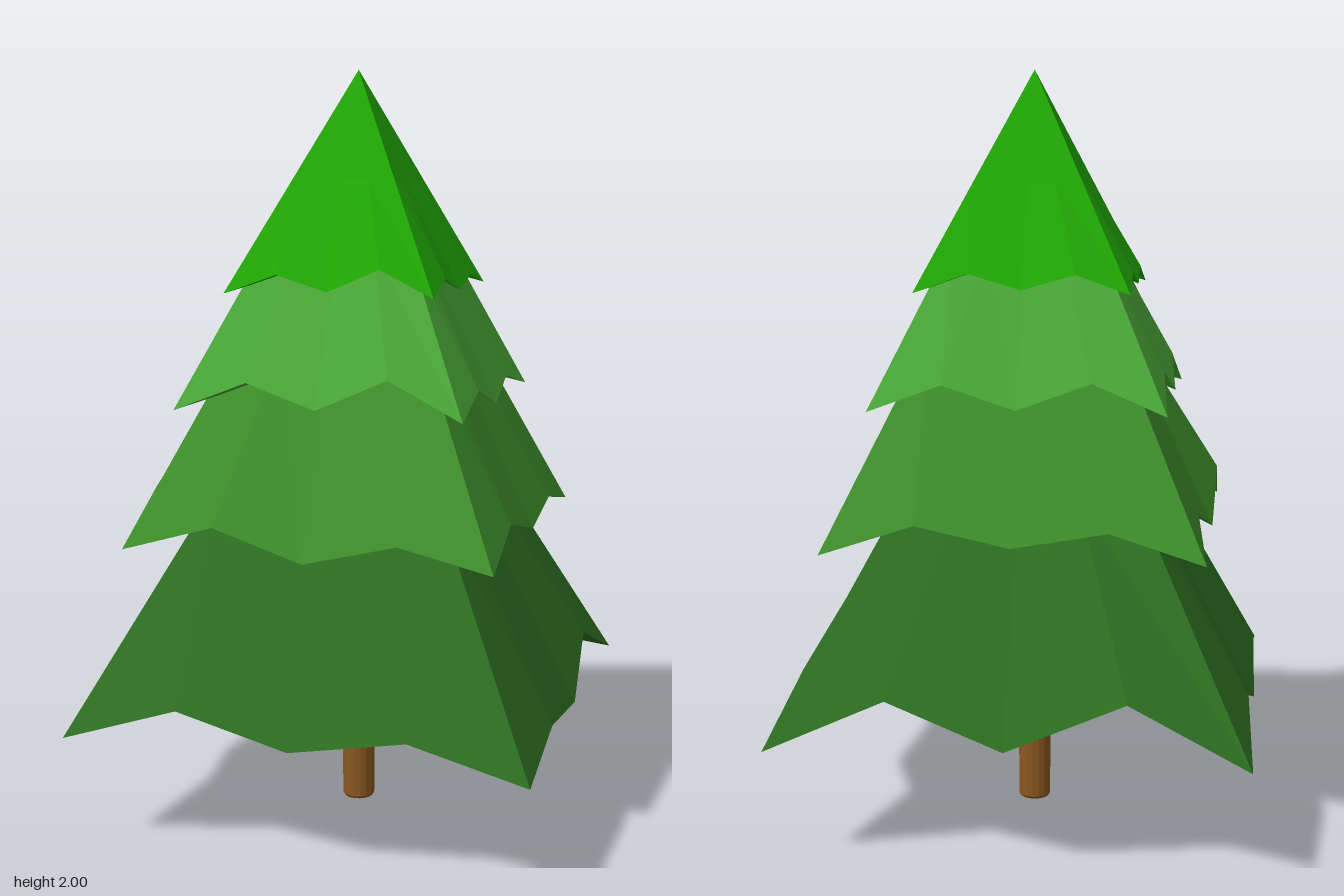
import * as THREE from 'three';

const mat = (name, color) => {
  const m = new THREE.MeshStandardMaterial({ color });
  m.name = name;
  m.flatShading = true;
  return m;
};

// Each tier: half width, corner height, apex height, and for each of the sides
// (front, left, back, right) the rise and inset of its three hem points.
const TIERS = [
  { name: 'lowestBranches', color: 0x2d6f21, half: 0.608, base: 0.31, apex: 1.51,
    rise: [[0.095, 0.025, 0.08], [0.055, 0.02, 0.125], [0.13, 0.025, 0.16], [0.1, 0, 0.08]],
    inset: [[0.02, 0, 0], [0.005, 0, 0.03], [0.04, 0, -0.005], [0.015, 0, 0.005]] },
  { name: 'lowerBranches', color: 0x3e902b, half: 0.486, base: 0.787, apex: 1.85,
    rise: [[0.07, -0.005, 0.055], [0.075, 0.015, 0.05], [0.08, 0.03, 0.07], [0.08, 0, 0.12]],
    inset: [[0.01, 0, 0.005], [0.01, 0, 0.005], [0.01, 0.005, 0.025], [0.03, 0, -0.005]] },
  { name: 'upperBranches', color: 0x4aa937, half: 0.381, base: 1.137, apex: 1.97,
    rise: [[0.075, 0.015, 0.1], [0.055, -0.005, 0.045], [0.07, 0.01, 0.08], [0.09, 0.02, 0.1]],
    inset: [[0.02, 0, -0.005], [0.005, 0, 0.015], [0.01, 0, 0.01], [0.02, 0, 0.02]] },
  { name: 'topBranches', color: 0x20a804, half: 0.279, base: 1.43, apex: 2,
    rise: [[0.05, 0.01, 0.07], [0.04, 0, 0.03], [0.05, 0.01, 0.05], [0.05, 0.01, 0.05]],
    inset: [[0.01, 0, -0.005], [0.005, 0, 0.005], [0.015, 0, 0], [0.005, 0, 0.005]] },
];

// Square ring of 16 points; offset(side, i) gives the [rise, inset] of a point
function squareRing(half, y, offset = () => [0, 0]) {
  const up = new THREE.Vector3(0, 1, 0);
  const ring = [];
  for (let side = 0; side < 4; side++) {
    for (let i = 0; i < 4; i++) {
      const [dy, dz] = i ? offset(side, i - 1) : [0, 0];
      const p = new THREE.Vector3(half * (i / 2 - 1), y + dy, half - dz);
      ring.push(p.applyAxisAngle(up, side * Math.PI / 2));
    }
  }
  return ring;
}

// Square pyramid: zigzag hem, straight upper half and a hollowed underside
function tierGeometry({ half, base, apex, rise, inset }) {
  const tip = new THREE.Vector3(0, apex, 0);
  const under = new THREE.Vector3(0, base, 0);
  const upper = squareRing(half / 2, (base + apex) / 2);
  const hem = squareRing(half, base, (s, i) => [rise[s][i], inset[s][i]]);
  const lower = squareRing(half / 2, base + half * 0.25);
  const points = [];
  for (let i = 0; i < 16; i++) {
    const j = (i + 1) % 16;
    points.push(tip, upper[i], upper[j]);
    points.push(upper[i], hem[i], hem[j], upper[i], hem[j], upper[j]);
    points.push(hem[i], lower[i], lower[j], hem[i], lower[j], hem[j]);
    points.push(under, lower[j], lower[i]);
  }
  const geometry = new THREE.BufferGeometry().setFromPoints(points);
  geometry.computeVertexNormals();
  return geometry;
}

export function createModel() {
  const tree = new THREE.Group();
  tree.name = 'pineTree';

  // Foliage tiers
  for (const tier of TIERS) {
    const mesh = new THREE.Mesh(tierGeometry(tier), mat(tier.name + 'Green', tier.color));
    mesh.name = tier.name;
    tree.add(mesh);
  }

  // Trunk with slightly bevelled ends
  const profile = [[0, 0], [0.039, 0], [0.044, 0.007], [0.044, 0.303], [0.039, 0.31], [0, 0.31]]
    .map(([r, y]) => new THREE.Vector2(r, y));
  const trunk = new THREE.Mesh(new THREE.LatheGeometry(profile, 16), mat('barkBrown', 0x8a5821));
  trunk.name = 'trunk';
  tree.add(trunk);

  return tree;
}
